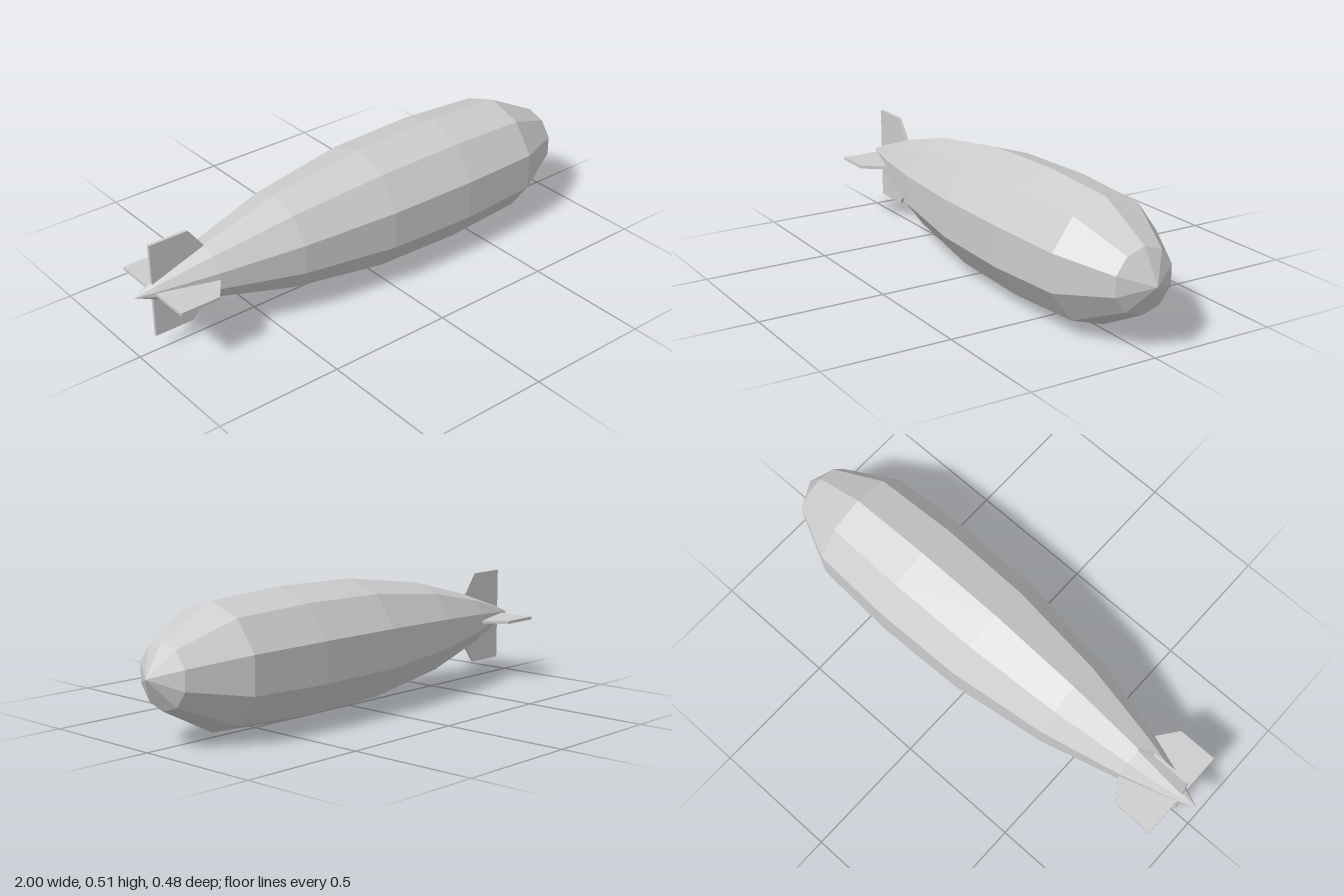
import * as THREE from 'three';

const AXIS_Y = 0.254; // height of the hull's centre line
const FIN_THICKNESS = 0.012;

export function createModel() {
  const group = new THREE.Group();
  group.name = 'airship';
  const hullGrey = new THREE.MeshStandardMaterial({ color: 0xcccccc });
  hullGrey.name = 'hull grey';
  hullGrey.flatShading = true;

  // Ten-sided hull: [position along x, radius], tail to nose
  const profile = [
    [-1, 0], [-0.93, 0.031], [-0.71, 0.106], [-0.39, 0.189], [0, 0.244],
    [0.37, 0.253], [0.705, 0.235], [0.925, 0.123], [1, 0],
  ].map(([x, r]) => new THREE.Vector2(r, x));
  const hullGeometry = new THREE.LatheGeometry(profile, 10, Math.PI / 2);
  hullGeometry.rotateZ(-Math.PI / 2);
  const hull = new THREE.Mesh(hullGeometry, hullGrey);
  hull.name = 'hull';
  hull.position.y = AXIS_Y;
  group.add(hull);

  // Four tail fins, rooted inside the hull and turned about its axis
  const finShape = new THREE.Shape([
    [-0.93, 0], [-0.705, 0], [-0.705, 0.102], [-0.77, 0.189], [-0.93, 0.189],
  ].map(([x, y]) => new THREE.Vector2(x, y)));
  const finGeometry = new THREE.ExtrudeGeometry(finShape, { depth: FIN_THICKNESS, bevelEnabled: false });
  finGeometry.translate(0, 0, -FIN_THICKNESS / 2);
  ['topFin', 'frontFin', 'bottomFin', 'backFin'].forEach((name, i) => {
    const fin = new THREE.Mesh(finGeometry, hullGrey);
    fin.name = name;
    fin.position.y = AXIS_Y;
    fin.rotation.x = i * Math.PI / 2;
    group.add(fin);
  });

  return group;
}
